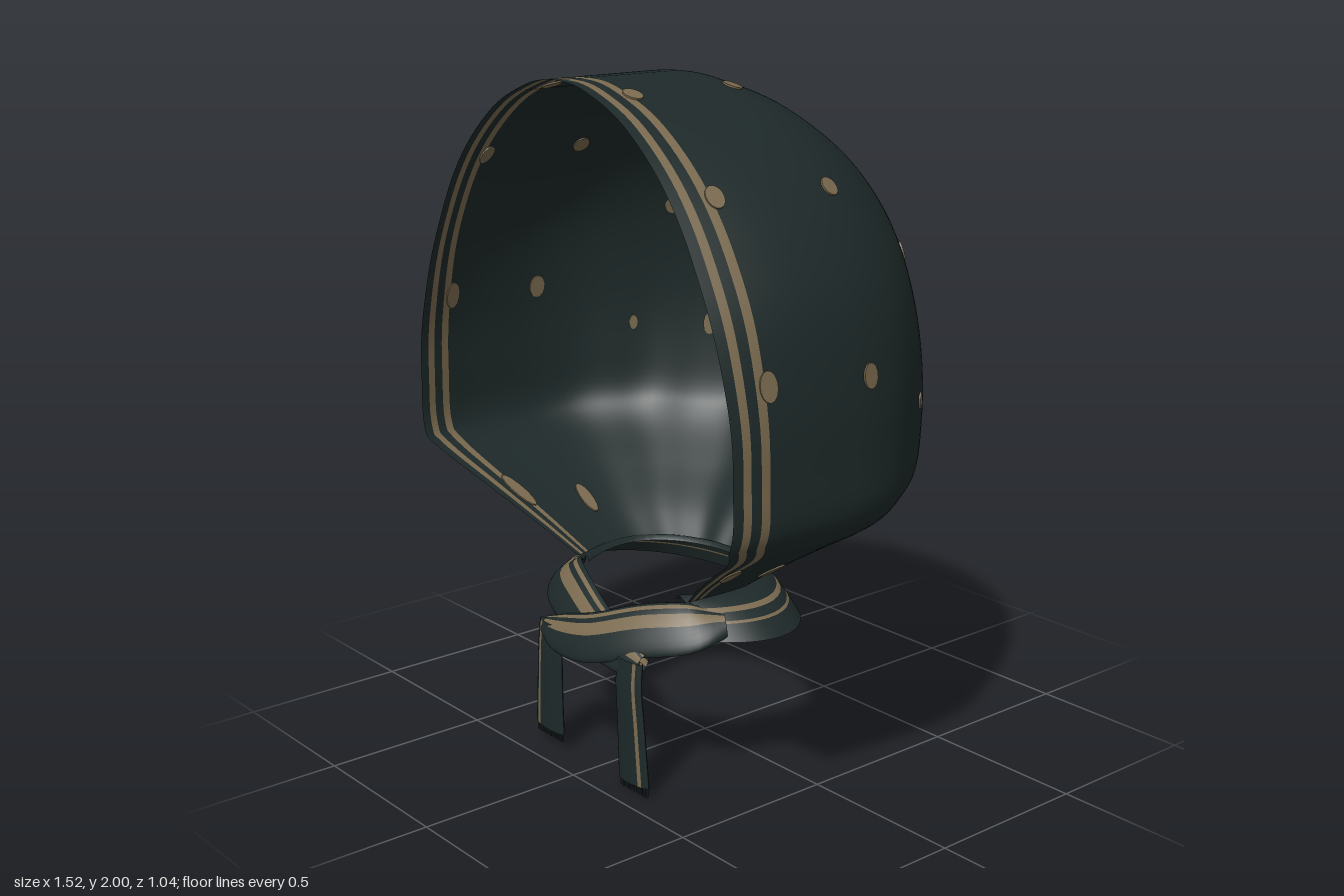
import * as THREE from 'three';

const V = (x, y, z) => new THREE.Vector3(x, y, z);
const { smoothstep, lerp, clamp } = THREE.MathUtils;
const cloth = new THREE.MeshStandardMaterial({ color: 0x1e2929, side: THREE.DoubleSide });
cloth.name = 'dark green cloth';
const tan = new THREE.MeshStandardMaterial({ color: 0x7a6a4f, side: THREE.DoubleSide });
tan.name = 'tan print';

// Smooth sheet from a grid of points; the listed columns become tan stripes
function sheet(name, rows, cols, point, stripes) {
  const pos = [], plain = [], striped = [];
  for (let i = 0; i <= rows; i++)
    for (let j = 0; j <= cols; j++) pos.push(...point(i, j).toArray());
  for (let i = 0; i < rows; i++)
    for (let j = 0; j < cols; j++) {
      const a = i * (cols + 1) + j, b = a + cols + 1;
      (stripes.includes(j) ? striped : plain).push(a, b, a + 1, b, b + 1, a + 1);
    }
  const g = new THREE.BufferGeometry();
  g.setAttribute('position', new THREE.Float32BufferAttribute(pos, 3));
  g.setIndex([...plain, ...striped]);
  g.addGroup(0, plain.length, 0);
  g.addGroup(plain.length, striped.length, 1);
  g.computeVertexNormals();
  const mesh = new THREE.Mesh(g, [cloth, tan]);
  mesh.name = name;
  return mesh;
}

// Hood profile from crown to neck: half width, height, back depth
const profile = new THREE.CatmullRomCurve3([
  [0, 2, 0.12], [0.085, 1.995, 0.06], [0.17, 1.975, 0], [0.33, 1.91, -0.14], [0.515, 1.77, -0.31],
  [0.64, 1.61, -0.42], [0.715, 1.45, -0.475], [0.75, 1.24, -0.51], [0.758, 1.05, -0.505],
  [0.755, 0.91, -0.47], [0.72, 0.845, -0.42], [0.54, 0.73, -0.3], [0.38, 0.63, -0.17], [0.27, 0.555, -0.1],
].map(p => V(...p)));
const ZC = 0.12;

// a: 0..1 left side, 1..3 around the back, 3..4 right side; v: crown to neck
function hoodPoint(a, v) {
  if (a > 2) { const p = hoodPoint(4 - a, v); p.x *= -1; return p; }
  const { x: w, y, z: zb } = profile.getPoint(v);
  const zf = y > 0.87 ? 0.515 : lerp(0.28, 0.515, Math.max(0, (y - 0.555) / 0.315));
  // The face opening is drawn in towards its top
  const pinch = 0.05 + 0.08 * smoothstep(y, 1.1, 1.6);
  if (a < 1) return V(w * (1 - pinch * (1 - a) ** 2), y, zf + (ZC - zf) * a);
  const t = (a - 1) * Math.PI / 2, e = 0.97 - 0.12 * smoothstep(y, 1.4, 2);
  // Gathered pleats, strongest below the widest part
  const fold = smoothstep(1.6 - y, 0, 0.6) * Math.sin(t) ** 2;
  const r = 1 + 0.026 * fold * Math.cos(14 * (t - Math.PI / 2));
  return V(w * r * Math.max(0, Math.cos(t)) ** e, y, ZC + (zb - ZC) * r * Math.sin(t) ** e);
}

function heightToV(y) {
  let lo = 0, hi = 1;
  for (let k = 0; k < 30; k++) {
    const m = (lo + hi) / 2;
    if (profile.getPoint(m).y > y) lo = m; else hi = m;
  }
  return lo;
}

// Flat strap with an oval section along points [x, y, z, half width], striped on both faces
function ribbon(name, pts, facing, thick, stripes) {
  const path = new THREE.CatmullRomCurve3(pts.map(p => V(p[0], p[1], p[2])));
  const widths = new THREE.CatmullRomCurve3(pts.map((p, i) => V(p[3], i, 0)));
  const rows = 24, cols = 24;
  return sheet(name, rows, cols, (i, j) => {
    const u = i / rows, f = j / cols * Math.PI * 2;
    const T = path.getTangent(u);
    const S = facing.clone().cross(T).normalize();
    const N = T.clone().cross(S);
    return path.getPoint(u).addScaledVector(S, widths.getPoint(u).x * Math.cos(f))
      .addScaledVector(N, thick * Math.sin(f));
  }, [...stripes, ...stripes.map(j => cols - 1 - j)]);
}

export function createModel() {
  const group = new THREE.Group();
  group.name = 'headscarf';

  // Hood, with two stripes along the face opening
  const half = [0, 0.075, 0.135, 0.21, 0.275, 0.45, 0.65, 0.85];
  for (let k = 0; k <= 40; k++) half.push(1 + k / 40);
  const cols = [...half, ...half.slice(0, -1).reverse().map(a => 4 - a)];
  const n = cols.length - 1;
  group.add(sheet('hood', 80, n, (i, j) => hoodPoint(cols[j], i / 80), [1, 3, n - 2, n - 4]));

  // Printed dots [a, height, width stretch, length stretch], mirrored left and right
  const dots = [
    [1.795, 1.76, 1, 1], [1.49, 1.52, 0.8, 1], [1.852, 1.315, 1.1, 1.35], [1.605, 1.135, 0.8, 1.3],
    [1.37, 1.13, 0.5, 0.9], [1.1, 1.735, 1, 1.1], [1.05, 1.27, 1, 1.35], [1, 0.66, 0.8, 2.3],
    [0.25, 0.71, 0.8, 2.8], [1.3, 1.968, 1, 1.1], [0.3, 1.29, 1, 1.6], [0.3, 1.74, 1, 1.3], [0.3, 1.968, 1, 1.2],
  ];
  const dotGeo = new THREE.CylinderGeometry(0.026, 0.026, 0.009, 14);
  for (const [a, y, wide, long] of dots)
    for (const s of [a, 4 - a]) {
      const v = heightToV(y), e = 0.01;
      const down = hoodPoint(s, v + e).sub(hoodPoint(s, v - e)).normalize();
      const along = hoodPoint(s + e, v).sub(hoodPoint(s - e, v));
      const normal = along.cross(down).normalize();
      const side = normal.clone().cross(down);
      const dot = new THREE.Mesh(dotGeo, tan);
      dot.name = 'dot';
      dot.quaternion.setFromRotationMatrix(new THREE.Matrix4().makeBasis(side, normal, down));
      dot.scale.set(wide, 1, long);
      dot.position.copy(hoodPoint(s, v));
      group.add(dot);
    }

  // Flared collar around the neck: [half width, height, back depth]
  const lip = [[0.26, 0.55, -0.09], [0.275, 0.565, -0.1], [0.31, 0.555, -0.115], [0.345, 0.54, -0.13],
    [0.362, 0.53, -0.137], [0.39, 0.512, -0.143], [0.398, 0.506, -0.147], [0.45, 0.465, -0.16]];
  group.add(sheet('collar', 48, lip.length - 1, (i, j) => {
    const [w, y, zb] = lip[j], a = i / 48 * 4;
    const t = clamp(a - 1, 0, 2) * Math.PI / 2;
    const front = a < 1 ? 1 - a : a > 3 ? a - 3 : 0;
    return V(w * Math.cos(t) * (1 - 0.22 * front * front), y, 0.1 + (zb - 0.1) * Math.sin(t) + 0.18 * front);
  }, [3, 5]));

  // Crossed straps of the knot
  const tilt = V(0, 0.5, 0.85);
  group.add(ribbon('overStrap', [[0.35, 0.5, 0.22, 0.04], [0.3, 0.495, 0.3, 0.075], [0.17, 0.468, 0.375, 0.08],
    [0, 0.41, 0.43, 0.075], [-0.14, 0.385, 0.435, 0.058], [-0.22, 0.38, 0.425, 0.03]], tilt, 0.02, [6, 7, 9]));
  group.add(ribbon('underStrap', [[-0.35, 0.495, 0.22, 0.04], [-0.3, 0.485, 0.3, 0.08], [-0.17, 0.465, 0.36, 0.08],
    [0, 0.42, 0.4, 0.07], [0.15, 0.4, 0.415, 0.058], [0.22, 0.39, 0.415, 0.03]], tilt, 0.018, [2, 4, 5]));

  // Hanging tails with fringed ends
  const tails = [
    ['rightTail', -0.19, -0.207, 0.06, [8]],
    ['leftTail', 0.185, 0.197, 0.03, [3]],
  ];
  const threadGeo = new THREE.BoxGeometry(0.004, 0.028, 0.004);
  for (const [name, top, end, low, stripes] of tails) {
    group.add(ribbon(name, [[top, 0.4, 0.43, 0.055], [top, 0.33, 0.436, 0.057],
      [(top + end) / 2, 0.2, 0.434, 0.061], [end, low, 0.43, 0.067]], V(0, 0, 1), 0.016, stripes));
    for (let k = 0; k < 11; k++) {
      const thread = new THREE.Mesh(threadGeo, cloth);
      thread.name = 'fringe';
      thread.position.set(end + (k - 5) * 0.012, low - 0.014 - (k % 2) * 0.002, 0.43);
      group.add(thread);
    }
  }
  return group;
}
